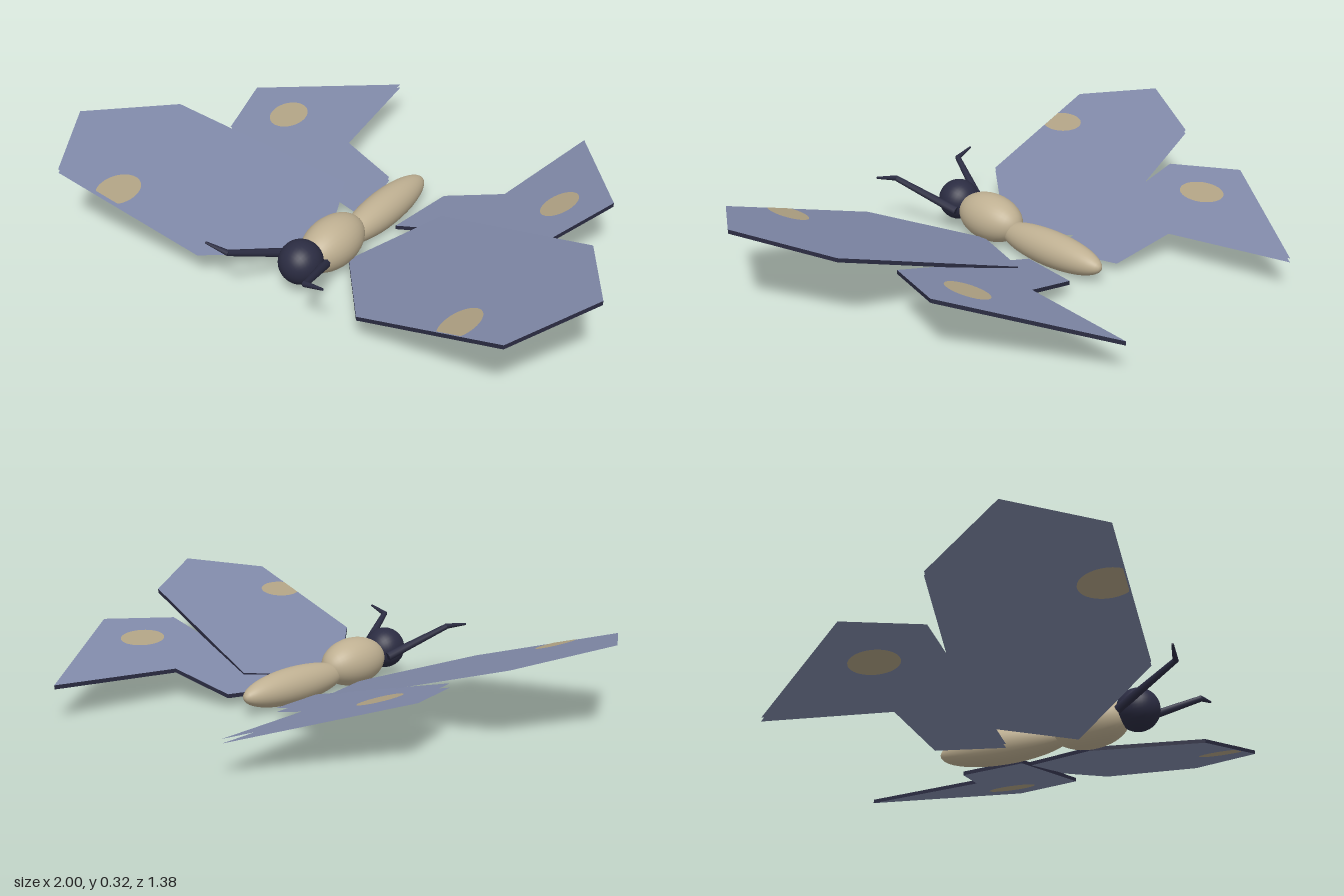
import * as THREE from 'three';

const mat = (name, color, side = THREE.FrontSide) => {
  const m = new THREE.MeshStandardMaterial({ color, side });
  m.name = name;
  return m;
};

const THICK = 0.014;

// Outlines in plan as [x, z] for the left side; each wing rises outwards by slope.
const WINGS = [
  {
    name: 'foreWing', base: 0.015, slope: 0.305,
    outline: [[0.05, 0.3], [0.31, 0.63], [0.84, 0.69], [1, 0.42], [0.82, 0.11], [0.2, -0.03]],
    spot: { x: 0.655, z: 0.61, rx: 0.056, rz: 0.09, edge: (x) => 0.63 + (x - 0.31) * 0.113 },
  },
  {
    name: 'hindWing', base: 0.0165, slope: 0.27,
    outline: [[0.07, 0.053], [0.65, 0.04], [0.735, -0.22], [0.4, -0.69], [0.33, -0.23], [0.115, -0.185]],
    spot: { x: 0.56, z: -0.185, rx: 0.054, rz: 0.09, edge: () => 1 },
  },
];

// Lays a flat geometry down and tilts it to the wing's slope
function tilt(geo, wing, lift) {
  geo.rotateX(-Math.PI / 2);
  const p = geo.attributes.position;
  for (let i = 0; i < p.count; i++) {
    p.setY(i, p.getY(i) + lift + wing.base + wing.slope * Math.abs(p.getX(i)));
  }
  geo.computeVertexNormals();
  return geo;
}

const toShape = (points, side) =>
  new THREE.Shape(points.map(([x, z]) => new THREE.Vector2(side * x, -z)));

// Spot outline, cut off where it meets the wing's edge
function spotPoints({ x, z, rx, rz, edge }) {
  const points = [];
  for (let i = 0; i < 32; i++) {
    const a = (i / 32) * Math.PI * 2;
    const px = x + rx * Math.cos(a);
    points.push([px, Math.min(z + rz * Math.sin(a), edge(px) - 0.002)]);
  }
  return points;
}

export function createModel() {
  const model = new THREE.Group();
  const bodyMat = mat('tan body', 0xbfb092);
  const darkMat = mat('dark navy', 0x2b2c42);
  const wingMat = mat('slate blue wing', 0x8089a8, THREE.DoubleSide);
  const spotMat = mat('sand spot', 0xb0a284, THREE.DoubleSide);

  const add = (parent, name, geo, material) => {
    const mesh = new THREE.Mesh(geo, material);
    mesh.name = name;
    parent.add(mesh);
    return mesh;
  };

  // Body
  const ellipsoid = (name, material, radii, y, z) => {
    const geo = new THREE.SphereGeometry(1, 32, 20).rotateX(Math.PI / 2).scale(...radii);
    add(model, name, geo, material).position.set(0, y, z);
  };
  ellipsoid('abdomen', bodyMat, [0.063, 0.063, 0.237], 0.063, 0.02);
  ellipsoid('thorax', bodyMat, [0.085, 0.085, 0.14], 0.09, 0.32);
  ellipsoid('head', darkMat, [0.073, 0.073, 0.073], 0.11, 0.49);

  // Antennae: a stalk and a bent, pointed tip
  const rod = (name, from, to, r0, r1) => {
    const a = new THREE.Vector3(...from);
    const dir = new THREE.Vector3(...to).sub(a);
    const geo = new THREE.CylinderGeometry(r1, r0, dir.length(), 8);
    const mesh = add(model, name, geo, darkMat);
    mesh.quaternion.setFromUnitVectors(new THREE.Vector3(0, 1, 0), dir.clone().normalize());
    mesh.position.copy(a).addScaledVector(dir, 0.5);
  };

  for (const side of [1, -1]) {
    const label = side > 0 ? 'left' : 'right';
    rod(label + 'AntennaStalk', [side * 0.06, 0.095, 0.44], [side * 0.15, 0.185, 0.665], 0.016, 0.01);
    rod(label + 'AntennaTip', [side * 0.146, 0.184, 0.663], [side * 0.225, 0.203, 0.677], 0.01, 0.004);

    for (const wing of WINGS) {
      const group = new THREE.Group();
      group.name = label + wing.name[0].toUpperCase() + wing.name.slice(1);
      model.add(group);
      const shape = toShape(wing.outline, side);

      if (side > 0) {
        // Solid wing with a dark rim
        const geo = new THREE.ExtrudeGeometry(shape, { depth: THICK, bevelEnabled: false });
        add(group, 'membrane', tilt(geo, wing, -THICK), [wingMat, darkMat]);
      } else {
        // Open-edged wing made of two sheets
        for (const lift of [0, -THICK]) {
          add(group, 'membrane', tilt(new THREE.ShapeGeometry(shape), wing, lift), wingMat);
        }
      }

      // Spots on both faces
      for (const lift of [0.0015, -THICK - 0.0015]) {
        const geo = new THREE.ShapeGeometry(toShape(spotPoints(wing.spot), side));
        add(group, 'spot', tilt(geo, wing, lift), spotMat);
      }
    }
  }
  return model;
}
